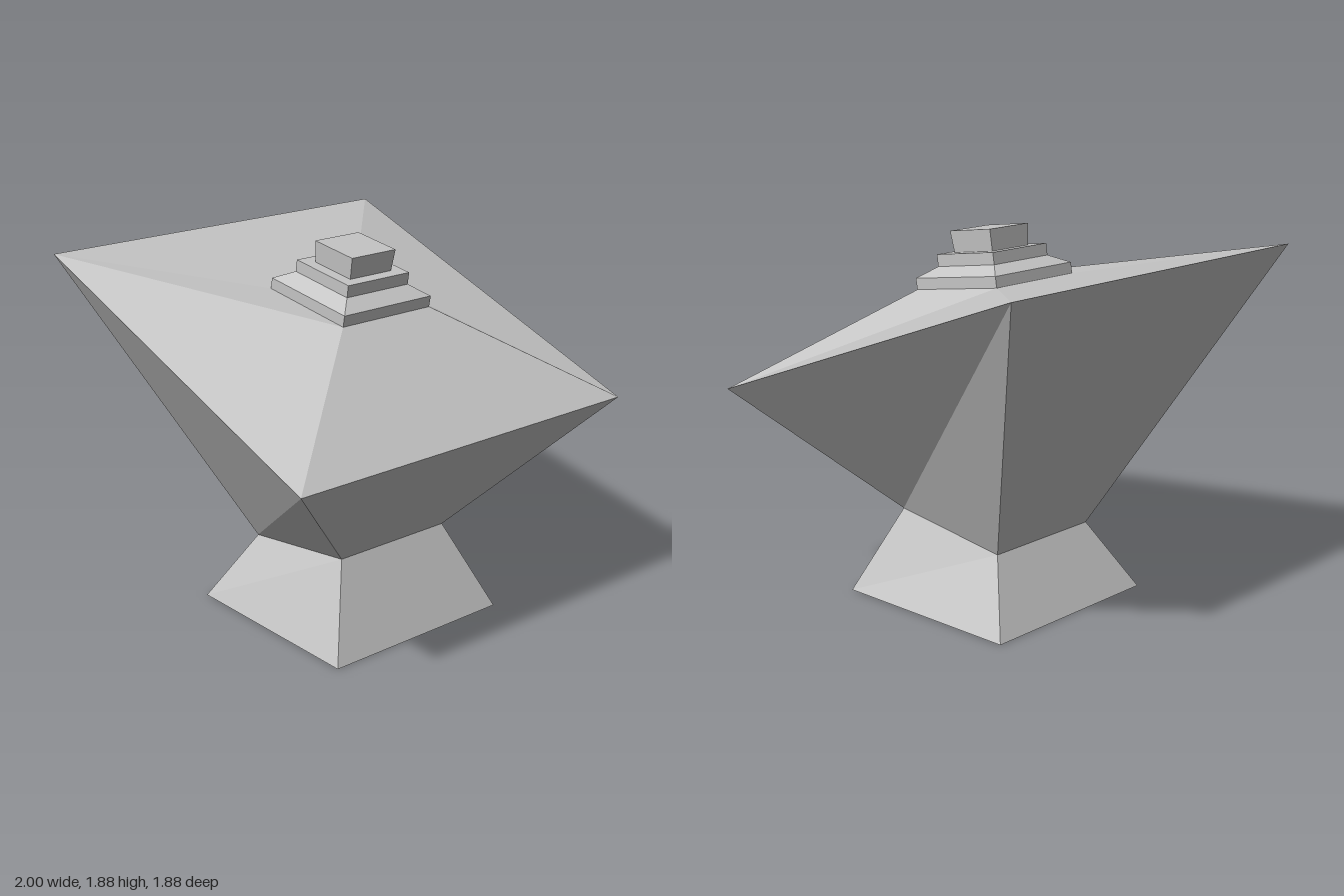
import * as THREE from 'three';

// Tilted square ring: half width, then z and y of its front and back edges.
// Corners run back right, front right, front left, back left.
function ring(w, zFront, yFront, zBack, yBack) {
  return [
    [-w, yBack, zBack], [-w, yFront, zFront],
    [w, yFront, zFront], [w, yBack, zBack],
  ];
}

// Faceted skin through consecutive rings, optionally closed at either end.
function loft(rings, capBottom = false, capTop = false) {
  const pos = [];
  const tri = (a, b, c) => pos.push(...a, ...b, ...c);
  for (let i = 0; i < rings.length - 1; i++) {
    const b = rings[i], t = rings[i + 1];
    for (let j = 0; j < 4; j++) {
      const k = (j + 1) % 4;
      tri(b[j], b[k], t[k]);
      tri(b[j], t[k], t[j]);
    }
  }
  if (capBottom) {
    const r = rings[0];
    tri(r[0], r[2], r[1]);
    tri(r[0], r[3], r[2]);
  }
  if (capTop) {
    const r = rings[rings.length - 1];
    tri(r[0], r[1], r[2]);
    tri(r[0], r[2], r[3]);
  }
  const geo = new THREE.BufferGeometry();
  geo.setAttribute('position', new THREE.Float32BufferAttribute(pos, 3));
  geo.computeVertexNormals();
  return geo;
}

export function createModel() {
  const group = new THREE.Group();
  const grey = new THREE.MeshStandardMaterial({ color: 0xc4c4c4 });
  grey.name = 'light grey';

  const add = (name, ...args) => {
    const mesh = new THREE.Mesh(loft(...args), grey);
    mesh.name = name;
    group.add(mesh);
  };

  // Rings from the ground upwards
  const foot = ring(0.52, 0.61, 0, -0.43, 0);
  const waist = ring(0.33, 0.415, 0.44, -0.235, 0.35);
  const rim = ring(1, 0.94, 1.098, -0.94, 1.78);
  const collarLow = ring(0.27, 0.354, 1.563, -0.177, 1.638);
  const collarHigh = ring(0.27, 0.364, 1.618, -0.168, 1.692);
  const stepLow = ring(0.19, 0.288, 1.674, -0.086, 1.727);
  const stepHigh = ring(0.19, 0.297, 1.733, -0.077, 1.785);
  const knobLow = ring(0.127, 0.238, 1.741, -0.015, 1.776);
  const knobHigh = ring(0.135, 0.26, 1.846, -0.006, 1.882);

  add('base', [foot, waist], true);
  add('body', [waist, rim]);
  add('shoulder', [rim, collarLow]);
  add('collar', [collarLow, collarHigh, stepLow]);
  add('upperStep', [stepLow, stepHigh, knobLow]);
  add('knob', [knobLow, knobHigh], false, true);

  return group;
}
